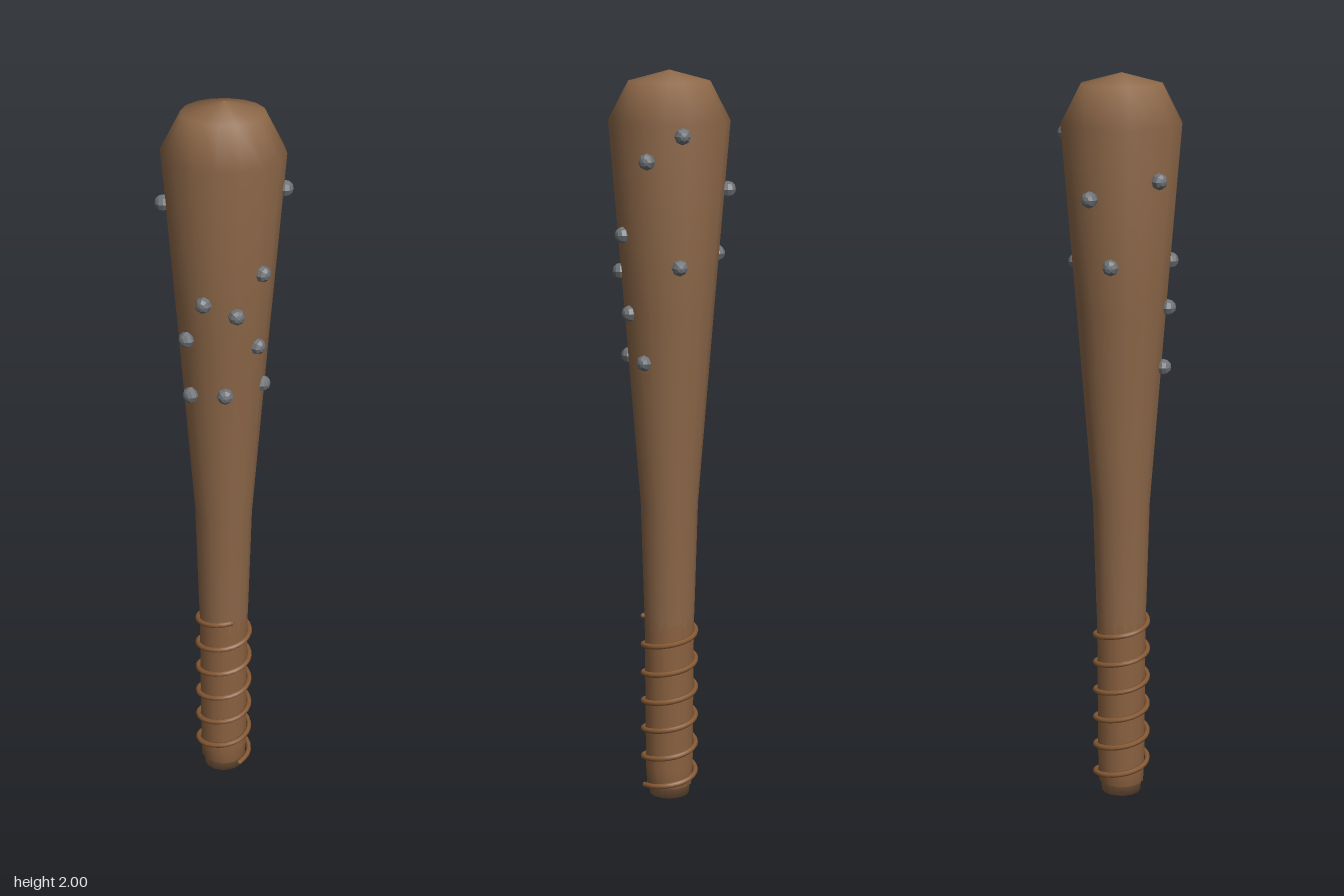
import * as THREE from 'three';

const CENTRE_Z = 0.008;

function material(name, color, side = THREE.FrontSide) {
  const m = new THREE.MeshStandardMaterial({ color, side });
  m.name = name;
  return m;
}

function addMesh(parent, name, geometry, mat) {
  const mesh = new THREE.Mesh(geometry, mat);
  mesh.name = name;
  parent.add(mesh);
  return mesh;
}

const lathe = (profile, sides) =>
  new THREE.LatheGeometry(profile.map(([r, y]) => new THREE.Vector2(r, y)), sides);

export function createModel() {
  const wood = material('wood', 0x8c6748);
  const leather = material('leather', 0x8a6140);
  const cord = material('cord', 0x875a34);
  const steel = material('steel', 0x6e7276);
  const model = new THREE.Group();
  model.name = 'studdedClub';

  // Tapered wooden body with a blunt domed head
  const body = addMesh(model, 'clubBody', lathe([
    [0, 0], [0.055, 0], [0.06, 0.06], [0.066, 0.45], [0.07, 0.56], [0.078, 0.84],
    [0.12, 1.38], [0.16, 1.87], [0.107, 1.972], [0, 2],
  ], 16), wood);
  body.position.z = CENTRE_Z;

  // Leather sleeve on the handle
  const grip = addMesh(model, 'grip', lathe([
    [0.055, 0.025], [0.063, 0.03], [0.066, 0.08], [0.0685, 0.51], [0.064, 0.53],
  ], 14), leather);
  grip.position.z = CENTRE_Z;

  // Cord wound six times round the grip
  const turns = 6, steps = 72, points = [];
  for (let i = 0; i <= steps; i++) {
    const a = (i / steps) * (turns - 0.06) * Math.PI * 2;
    points.push(new THREE.Vector3(
      0.073 * Math.cos(a), 0.03 + 0.0818 * a / (Math.PI * 2), -0.073 * Math.sin(a)));
  }
  const coil = addMesh(model, 'gripCord',
    new THREE.TubeGeometry(new THREE.CatmullRomCurve3(points), 144, 0.0075, 6), cord);
  coil.position.z = CENTRE_Z;
  for (const end of [points[0], points[steps]]) {
    const tip = addMesh(coil, 'cordEnd', new THREE.SphereGeometry(0.0075, 6, 4), cord);
    tip.position.copy(end);
  }

  // Faceted steel studs half sunk into the head, each aimed outward
  const studs = [
    [0.02, 1.84, -0.148], [0.103, 1.775, -0.108], [-0.092, 1.735, 0.13], [-0.146, 1.69, -0.04],
    [0.135, 1.578, -0.01], [-0.137, 1.515, 0.013], [0.065, 1.505, 0.125], [0.017, 1.5, -0.12],
    [0.118, 1.473, 0.06], [0.005, 1.39, 0.133], [0.117, 1.37, -0.01], [0.09, 1.242, 0.075],
    [0.09, 1.242, -0.05], [0.005, 1.228, 0.121],
  ];
  const studGeometry = new THREE.SphereGeometry(0.022, 8, 6).rotateX(Math.PI / 2).toNonIndexed();
  studGeometry.computeVertexNormals();
  const studGroup = new THREE.Group();
  studGroup.name = 'studs';
  model.add(studGroup);
  for (const [x, y, z] of studs) {
    const stud = addMesh(studGroup, 'stud', studGeometry, steel);
    stud.position.set(x, y, z);
    stud.rotation.y = Math.atan2(x, z - CENTRE_Z);
  }

  return model;
}
